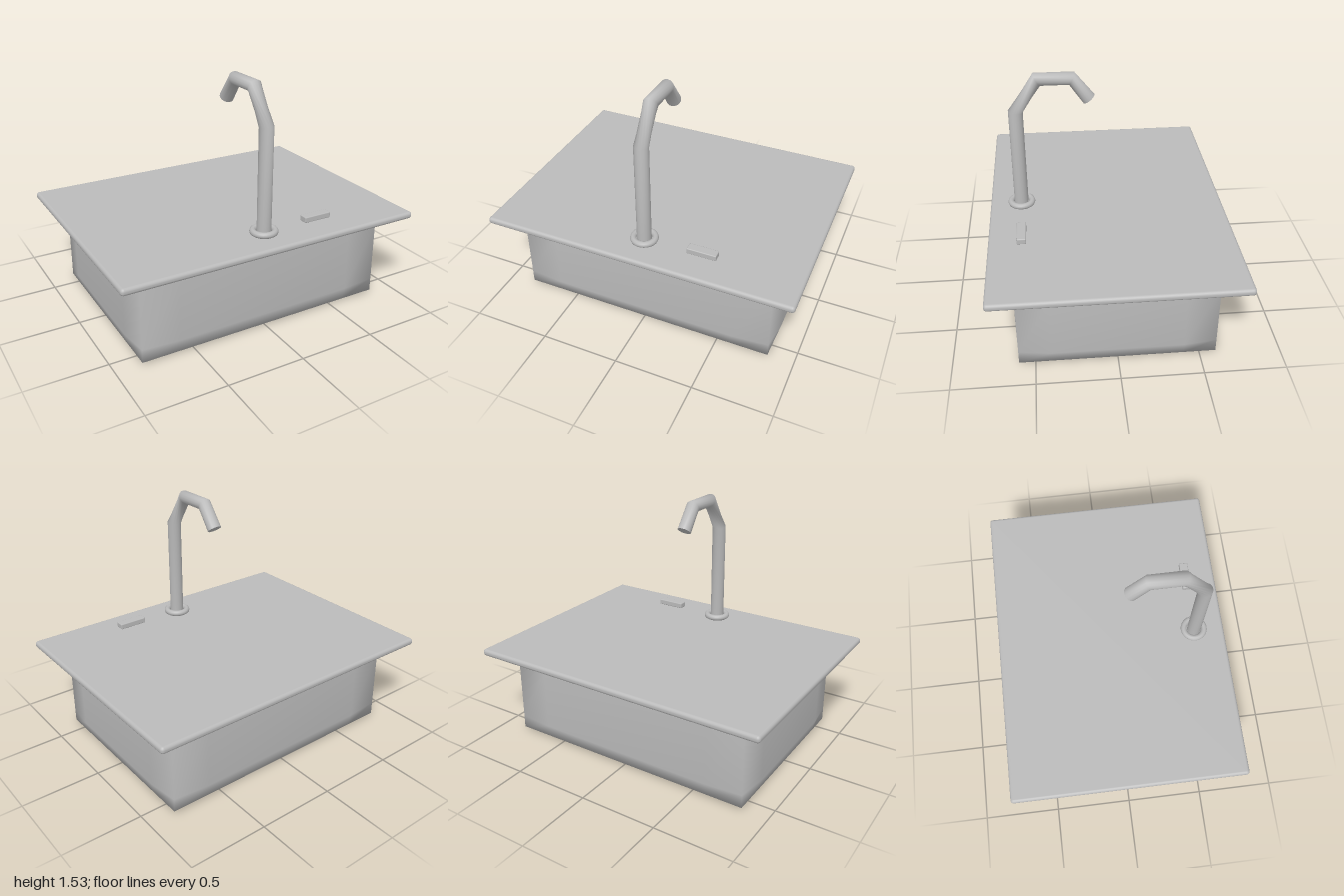
import * as THREE from 'three';
import { mergeVertices } from 'three/addons/utils/BufferGeometryUtils.js';
import { RoundedBoxGeometry } from 'three/addons/geometries/RoundedBoxGeometry.js';

const steel = new THREE.MeshStandardMaterial({ color: 0xbababa });
steel.name = 'brushed steel';

function part(name, geometry, x = 0, y = 0, z = 0) {
  const mesh = new THREE.Mesh(geometry, steel);
  mesh.name = name;
  mesh.position.set(x, y, z);
  return mesh;
}

// Softly bulging box: flat middle panels, edges pulled in, smooth normals
function basinGeometry() {
  let g = new THREE.BoxGeometry(2, 2, 2, 3, 3, 3);
  g.deleteAttribute('normal');
  g.deleteAttribute('uv');
  g = mergeVertices(g);
  const p = g.attributes.position;
  const panel = [0.6, 0.2, 0.4];    // half size of the flat panels
  const face = [0.86, 0.3, 0.62];   // half size at the panels
  const edge = [0.835, 0.285, 0.6]; // half size at the edges
  for (let i = 0; i < p.count; i++) {
    const v = [p.getX(i), p.getY(i), p.getZ(i)];
    const outer = v.map((c) => Math.abs(c) > 0.9);
    const count = outer.filter(Boolean).length;
    const q = v.map((c, k) =>
      Math.sign(c) * (!outer[k] ? panel[k] : count === 1 ? face[k] : edge[k]));
    p.setXYZ(i, q[0], q[1] + 0.3, q[2]);
  }
  g.computeVertexNormals();
  return g;
}

// Bent pipe from circular rings, each given by its outer and inner point [z, y] and a twist
const SIDES = 16;
const RINGS = [
  { out: [0.6, 0.61], inn: [0.51, 0.61], twist: 0 },
  { out: [0.6, 1.29], inn: [0.51, 1.275], twist: 0 },
  { out: [0.44, 1.527], inn: [0.395, 1.45], twist: -1.18 },
  { out: [0.19, 1.527], inn: [0.225, 1.45], twist: -1.18 },
  { out: [0.07, 1.378], inn: [0.14, 1.325], twist: -1.18 },
];

function ringPoints({ out, inn, twist }) {
  const cz = (out[0] + inn[0]) / 2, cy = (out[1] + inn[1]) / 2;
  const points = [];
  for (let i = 0; i < SIDES; i++) {
    const a = (i / SIDES) * Math.PI * 2 + twist;
    points.push(
      0.045 * Math.sin(a),
      cy + (out[1] - cy) * Math.cos(a),
      cz + (out[0] - cz) * Math.cos(a));
  }
  return points;
}

function meshFrom(positions, index) {
  const g = new THREE.BufferGeometry();
  g.setAttribute('position', new THREE.Float32BufferAttribute(positions, 3));
  g.setIndex(index);
  g.computeVertexNormals();
  return g;
}

function pipeGeometry() {
  const index = [];
  for (let r = 0; r < RINGS.length - 1; r++) {
    for (let i = 0; i < SIDES; i++) {
      const j = (i + 1) % SIDES;
      const a = r * SIDES + i, b = r * SIDES + j;
      index.push(a, b, b + SIDES, a, b + SIDES, a + SIDES);
    }
  }
  return meshFrom(RINGS.flatMap(ringPoints), index);
}

// Flat disc closing the spout
function capGeometry() {
  const index = [];
  for (let i = 1; i < SIDES - 1; i++) index.push(0, i, i + 1);
  return meshFrom(ringPoints(RINGS[RINGS.length - 1]), index);
}

export function createModel() {
  const model = new THREE.Group();
  model.name = 'sink';

  model.add(part('basin', basinGeometry()));
  model.add(part('countertop', new RoundedBoxGeometry(2, 0.045, 1.515, 3, 0.02), 0, 0.592, 0));

  // Tap with its collar
  const tap = new THREE.Group();
  tap.name = 'tap';
  const collar = new THREE.TorusGeometry(0.068, 0.02, 10, 32).rotateX(Math.PI / 2);
  tap.add(part('tapCollar', collar, 0, 0.633, 0.554));
  tap.add(part('tapPipe', pipeGeometry()));
  tap.add(part('spoutEnd', capGeometry()));
  model.add(tap);

  // Small lever beside the tap
  model.add(part('lever', new RoundedBoxGeometry(0.188, 0.037, 0.058, 2, 0.006), 0.379, 0.645, 0.553));

  return model;
}
